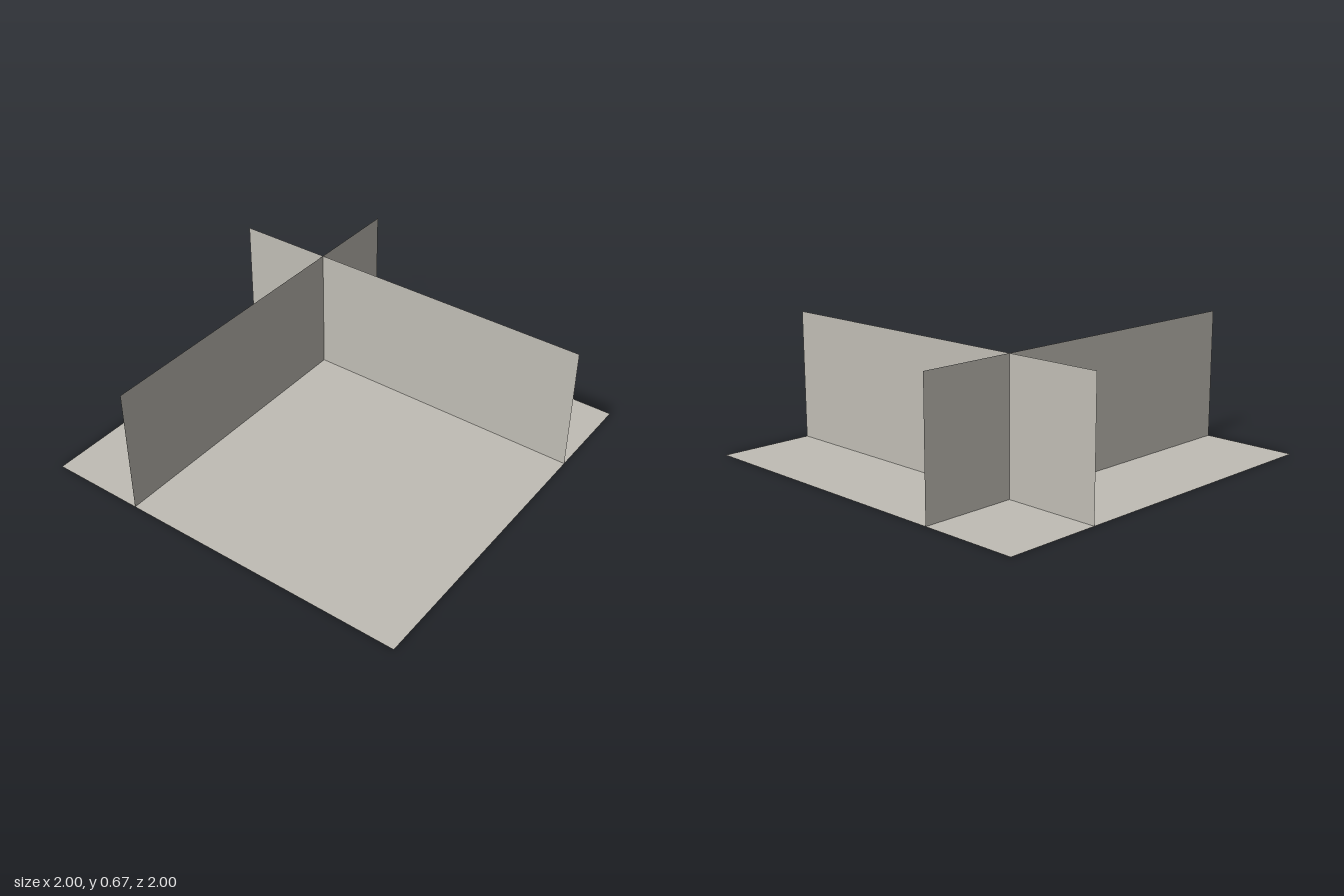
import * as THREE from 'three';

export function createModel() {
  const model = new THREE.Group();
  model.name = 'crossedPanels';

  const size = 2, height = 0.667, offset = -0.5;
  const stone = new THREE.MeshStandardMaterial({ color: 0xc0bdb5, side: THREE.DoubleSide });
  stone.name = 'warm grey';

  const addPanel = (name, depth) => {
    const panel = new THREE.Mesh(new THREE.PlaneGeometry(size, depth), stone);
    panel.name = name;
    model.add(panel);
    return panel;
  };

  // Square floor sheet
  addPanel('floor', size).rotation.x = -Math.PI / 2;

  // Wall running left to right, behind the centre
  addPanel('crossWall', height).position.set(0, height / 2, offset);

  // Wall running front to back, right of the centre
  const lengthWall = addPanel('lengthWall', height);
  lengthWall.rotation.y = Math.PI / 2;
  lengthWall.position.set(offset, height / 2, 0);

  return model;
}
